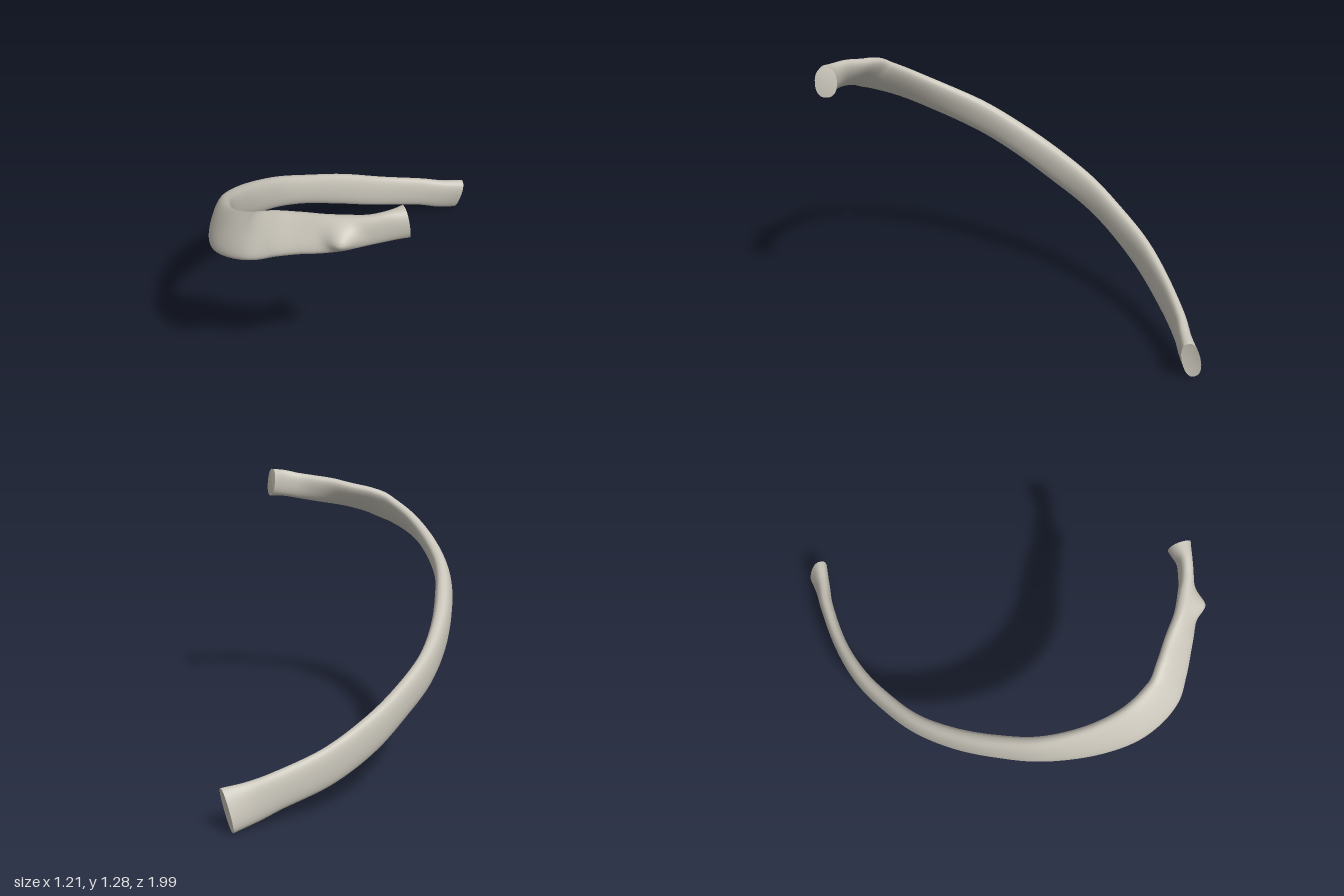
import * as THREE from 'three';

// Stations along the rib: x, y, z, half width, half thickness, inward lean of the upper edge (radians)
const stations = [
  [-0.07, 0.10, -0.96, 0.098, 0.042, 0.28],
  [-0.135, 0.118, -0.885, 0.09, 0.036, 0.15],
  [-0.215, 0.152, -0.80, 0.084, 0.032, 0.05],
  [-0.365, 0.222, -0.60, 0.086, 0.031, 0],
  [-0.470, 0.317, -0.40, 0.085, 0.034, 0],
  [-0.530, 0.415, -0.20, 0.078, 0.036, 0],
  [-0.562, 0.510, 0.00, 0.08, 0.037, 0],
  [-0.548, 0.607, 0.20, 0.083, 0.040, 0.03],
  [-0.500, 0.715, 0.40, 0.081, 0.041, 0.1],
  [-0.420, 0.822, 0.60, 0.085, 0.038, 0.25],
  [-0.275, 0.932, 0.79, 0.092, 0.036, 0.5],
  [-0.140, 1.014, 0.89, 0.098, 0.035, 0.68],
  [0.000, 1.080, 0.925, 0.10, 0.035, 0.75],
  [0.100, 1.121, 0.905, 0.094, 0.035, 0.75],
  [0.200, 1.146, 0.875, 0.085, 0.035, 0.72],
  [0.300, 1.166, 0.845, 0.078, 0.035, 0.55],
  [0.390, 1.182, 0.800, 0.07, 0.034, 0.3],
  [0.465, 1.197, 0.757, 0.066, 0.032, 0.05],
  [0.525, 1.212, 0.712, 0.068, 0.033, 0],
  [0.568, 1.219, 0.662, 0.07, 0.050, 0],
];

const RINGS = 190;
const SIDES = 32;

// Cross-section loops swept along the curve; each has its own width, thickness and lean
function buildLoops() {
  const path = new THREE.CatmullRomCurve3(stations.map((s) => new THREE.Vector3(s[0], s[1], s[2])));
  const shape = new THREE.CatmullRomCurve3(stations.map((s) => new THREE.Vector3(s[3], s[4], s[5])), false, 'catmullrom', 0.5);
  const up = new THREE.Vector3(0, 1, 0);
  const tubercle = new THREE.Vector3(0.385, 1.175, 0.845);
  const loops = [];
  for (let i = 0; i <= RINGS; i++) {
    const u = i / RINGS;
    const c = path.getPoint(u);
    const t = path.getTangent(u);
    const s = shape.getPoint(u);
    const inward = new THREE.Vector3().crossVectors(up, t).normalize();
    const upper = new THREE.Vector3().crossVectors(t, inward);
    const wide = upper.clone().multiplyScalar(Math.cos(s.z)).addScaledVector(inward, Math.sin(s.z));
    const thin = inward.clone().multiplyScalar(Math.cos(s.z)).addScaledVector(upper, -Math.sin(s.z));
    const loop = [];
    for (let j = 0; j < SIDES; j++) {
      const a = (j / SIDES) * Math.PI * 2;
      const ca = Math.cos(a), sa = Math.sin(a);
      const p = c.clone()
        .addScaledVector(wide, s.x * Math.sign(ca) * Math.abs(ca) ** 0.9)
        .addScaledVector(thin, s.y * Math.sign(sa) * Math.abs(sa) ** 0.8);
      // Tubercle: a rounded bump pushed out of the outer face
      if (sa < 0) {
        const d2 = p.distanceToSquared(tubercle);
        p.addScaledVector(inward, 0.05 * sa * Math.exp(-d2 / 0.0028));
      }
      loop.push(p);
    }
    loops.push(loop);
  }
  return loops;
}

function shaftGeometry(loops) {
  const index = [];
  for (let i = 0; i < RINGS; i++) {
    for (let j = 0; j < SIDES; j++) {
      const k = (j + 1) % SIDES;
      const a = i * SIDES + j, b = i * SIDES + k;
      index.push(a, a + SIDES, b, b, a + SIDES, b + SIDES);
    }
  }
  const g = new THREE.BufferGeometry().setFromPoints(loops.flat());
  g.setIndex(index);
  g.computeVertexNormals();
  return g;
}

// Flat-edged end face, its centre moved along the axis by the given depth
function capGeometry(loop, axis, depth) {
  const centre = new THREE.Vector3();
  loop.forEach((p) => centre.addScaledVector(p, 1 / SIDES));
  centre.addScaledVector(axis, depth);
  const index = [];
  const n = new THREE.Vector3().crossVectors(loop[0].clone().sub(centre), loop[SIDES / 4].clone().sub(centre));
  const forward = n.dot(axis) > 0;
  for (let j = 0; j < SIDES; j++) {
    const k = (j + 1) % SIDES;
    index.push(SIDES, forward ? j : k, forward ? k : j);
  }
  const g = new THREE.BufferGeometry().setFromPoints([...loop, centre]);
  g.setIndex(index);
  g.computeVertexNormals();
  return g;
}

export function createModel() {
  const bone = new THREE.MeshStandardMaterial({ color: 0xc9c5ba });
  bone.name = 'bone';
  const model = new THREE.Group();
  model.name = 'rib';
  const add = (name, geometry) => {
    const mesh = new THREE.Mesh(geometry, bone);
    mesh.name = name;
    model.add(mesh);
  };

  const loops = buildLoops();
  const first = loops[0], last = loops[RINGS];
  const outFirst = first[0].clone().sub(loops[1][0]).normalize();
  const outLast = last[0].clone().sub(loops[RINGS - 1][0]).normalize();
  add('shaft', shaftGeometry(loops));
  add('frontEndFace', capGeometry(first, outFirst, -0.008));
  add('headFace', capGeometry(last, outLast, 0.01));
  return model;
}
